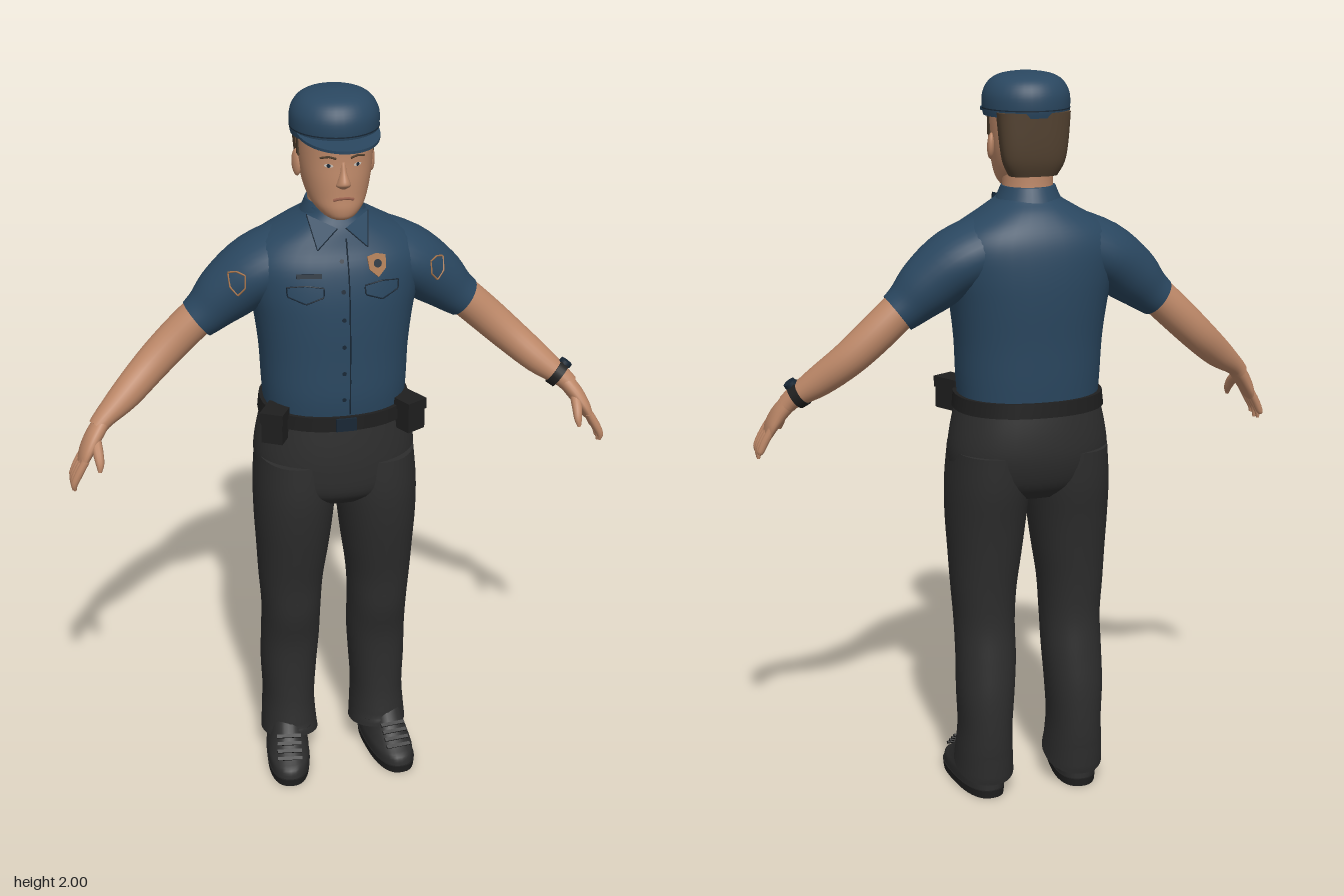
import * as THREE from 'three';

const mat = (name, color) => Object.assign(new THREE.MeshStandardMaterial({ color }), { name });
const M = {
  shirt: mat('navy cloth', 0x2a4760), trim: mat('dark seam', 0x182735), trousers: mat('charcoal cloth', 0x2d2d2d),
  leather: mat('black leather', 0x1f1f1f), skin: mat('skin', 0xbd8868), hair: mat('brown hair', 0x51402f),
  bronze: mat('bronze', 0xa8754c), eye: mat('eye white', 0xcfc4ba), lips: mat('lips', 0x9c6350),
};
M.flap = M.shirt.clone();
M.flap.side = THREE.DoubleSide;

const SEG = 36;
const spline = (a, b, c, d, t) => 0.5 * (2 * b + (c - a) * t + (2 * a - 5 * b + 4 * c - d) * t * t + (3 * b - a - 3 * c + d) * t ** 3);

// Smoothly fills in rows of numbers between the given ones
function refine(rows, steps) {
  const out = [], n = rows.length - 1, at = (i) => rows[Math.max(0, Math.min(n, i))];
  for (let i = 0; i < n; i++) for (let k = 0; k < steps; k++)
    out.push(rows[i].map((b, j) => spline(at(i - 1)[j], b, at(i + 1)[j], at(i + 2)[j], k / steps)));
  return [...out, rows[n]];
}

// Closed skin over a list of rings, with separate flat ends
function skin(rings) {
  const pos = [], idx = [], n = rings[0].length;
  rings.forEach((r) => r.forEach((p) => pos.push(p.x, p.y, p.z)));
  for (let i = 0; i < rings.length - 1; i++) for (let j = 0; j < n; j++) {
    const a = i * n + j, b = i * n + (j + 1) % n;
    idx.push(a, a + n, b, b, a + n, b + n);
  }
  [rings[0], rings[rings.length - 1]].forEach((r, end) => {
    const start = pos.length / 3, c = new THREE.Vector3();
    r.forEach((p) => { pos.push(p.x, p.y, p.z); c.addScaledVector(p, 1 / n); });
    pos.push(c.x, c.y, c.z);
    for (let j = 0; j < n; j++) {
      const a = start + j, b = start + (j + 1) % n;
      idx.push(start + n, end ? b : a, end ? a : b);
    }
  });
  const g = new THREE.BufferGeometry();
  g.setAttribute('position', new THREE.Float32BufferAttribute(pos, 3));
  g.setIndex(idx);
  g.computeVertexNormals();
  return g;
}

// Level cross-sections, rising: [y, xMin, xMax, zMin, zMax]
function loft(rows, power = 2, steps = 4) {
  const bulge = (v) => Math.sign(v) * Math.abs(v) ** (2 / power);
  return skin(refine(rows, steps).map(([y, x0, x1, z0, z1]) => Array.from({ length: SEG }, (_, j) => {
    const a = (j / SEG) * Math.PI * 2;
    return new THREE.Vector3((x0 + x1) / 2 + bulge(Math.cos(a)) * (x1 - x0) / 2, y, (z0 + z1) / 2 + bulge(Math.sin(a)) * (z1 - z0) / 2);
  })));
}
const even = (rows) => rows.map(([y, rx, z0, z1]) => [y, -rx, rx, z0, z1]);
const flip = (rows, s) => (s > 0 ? rows : rows.map(([y, a, b, c, d]) => [y, -b, -a, c, d]));

// Limb along a path: [x, y, z, radius across, radius in depth]
function limb(rows, s = 1, seg = 20, steps = 4) {
  const fine = refine(rows.map(([x, ...r]) => [x * s, ...r]), steps);
  const p = fine.map((r) => new THREE.Vector3(r[0], r[1], r[2]));
  return skin(fine.map((r, i) => {
    const T = p[Math.min(i + 1, p.length - 1)].clone().sub(p[Math.max(i - 1, 0)]).normalize();
    const U = T.clone().cross(new THREE.Vector3(0, 0, 1)).normalize(), V = U.clone().cross(T);
    return Array.from({ length: seg }, (_, j) => {
      const a = (j / seg) * Math.PI * 2;
      return p[i].clone().addScaledVector(U, Math.cos(a) * r[3]).addScaledVector(V, Math.sin(a) * r[4]);
    });
  }));
}

export function createModel() {
  const root = new THREE.Group();
  root.name = 'uniformed officer';
  const add = (name, geo, m, parent = root) => {
    const mesh = new THREE.Mesh(geo, m);
    mesh.name = name;
    parent.add(mesh);
    return mesh;
  };

  // Shirt
  const torso = add('shirt body', loft(even([[1.13, 0.19, -0.172, 0.14], [1.2, 0.195, -0.178, 0.148], [1.3, 0.2, -0.184, 0.147],
    [1.4, 0.213, -0.192, 0.145], [1.48, 0.23, -0.194, 0.138], [1.55, 0.238, -0.188, 0.122], [1.6, 0.205, -0.172, 0.1],
    [1.645, 0.13, -0.142, 0.083], [1.675, 0.082, -0.108, 0.068], [1.695, 0.072, -0.095, 0.058]]), 2.25), M.shirt);
  const sleeves = [1, -1].map((s) => add(s > 0 ? 'left sleeve' : 'right sleeve', limb([[0.1, 1.555, -0.04, 0.09, 0.12],
    [0.2, 1.515, -0.04, 0.088, 0.115], [0.28, 1.455, -0.04, 0.08, 0.088], [0.33, 1.41, -0.038, 0.064, 0.068], [0.362, 1.385, -0.037, 0.056, 0.06]], s, 32), M.shirt));
  add('collar', loft(even([[1.655, 0.094, -0.122, 0.07], [1.685, 0.08, -0.108, 0.064], [1.705, 0.072, -0.098, 0.052]])), M.shirt);

  // Head, neck and hair
  add('neck', loft(even([[1.65, 0.075, -0.095, 0.045], [1.7, 0.067, -0.086, 0.052], [1.78, 0.068, -0.085, 0.05]])), M.skin);
  const head = add('head', loft(even([[1.682, 0.022, 0.045, 0.098], [1.692, 0.044, -0.005, 0.112], [1.715, 0.066, -0.05, 0.117],
    [1.745, 0.08, -0.085, 0.115], [1.79, 0.09, -0.102, 0.114], [1.84, 0.096, -0.108, 0.111], [1.9, 0.1, -0.11, 0.112]]), 2.2), M.skin);
  add('hair', loft(even([[1.735, 0.064, -0.1, -0.03], [1.77, 0.082, -0.112, -0.032], [1.82, 0.091, -0.117, -0.03], [1.9, 0.098, -0.119, -0.02]]), 2.8), M.hair);
  add('nose', loft(even([[1.77, 0.008, 0.09, 0.116], [1.779, 0.019, 0.09, 0.13], [1.79, 0.016, 0.09, 0.136], [1.815, 0.009, 0.09, 0.122], [1.84, 0.008, 0.09, 0.112]])), M.skin);

  // Cap with curved peak
  add('cap crown', loft(even([[1.887, 0.112, -0.121, 0.114], [1.91, 0.115, -0.125, 0.119], [1.945, 0.113, -0.122, 0.116],
    [1.975, 0.096, -0.104, 0.097], [1.992, 0.065, -0.07, 0.064], [2, 0.012, -0.015, 0.01]])), M.shirt);
  add('cap band seam', loft(even([[1.904, 0.1155, -0.1255, 0.1195], [1.907, 0.1155, -0.1255, 0.1195]])), M.trim);
  const peakShape = new THREE.Shape();
  peakShape.absellipse(0, 0.03, 0.106, 0.163, 0, Math.PI);
  const peak = new THREE.ExtrudeGeometry(peakShape, { depth: 0.007, bevelEnabled: false, curveSegments: 32 }).rotateX(Math.PI / 2);
  const pp = peak.attributes.position;
  for (let i = 0; i < pp.count; i++) pp.setY(i, pp.getY(i) + 1.907 - 0.08 * Math.max(0, pp.getZ(i) - 0.05) - 0.5 * pp.getX(i) ** 2);
  peak.computeVertexNormals();
  add('cap peak', peak, M.shirt);

  // Trousers and belt
  add('trouser seat', loft(even([[0.87, 0.13, -0.12, 0.11], [0.91, 0.205, -0.16, 0.148], [0.98, 0.22, -0.183, 0.155], [1.05, 0.213, -0.184, 0.152], [1.13, 0.195, -0.174, 0.143]]), 2.2), M.trousers);
  add('belt', loft(even([[1.11, 0.206, -0.186, 0.153], [1.15, 0.202, -0.184, 0.153]]), 2.25), M.leather);
  add('buckle', new THREE.BoxGeometry(0.055, 0.036, 0.008), M.trim).position.set(0, 1.13, 0.155);

  for (const s of [1, -1]) {
    const side = s > 0 ? 'left ' : 'right ';

    // Leg, with its hem raised over the instep
    const leg = loft(flip([[0.075, 0.05, 0.212, -0.125, 0.082], [0.13, 0.055, 0.208, -0.134, 0.075], [0.2, 0.057, 0.204, -0.137, 0.066],
      [0.3, 0.05, 0.208, -0.135, 0.064], [0.4, 0.043, 0.207, -0.124, 0.07], [0.5, 0.042, 0.207, -0.113, 0.092], [0.6, 0.036, 0.214, -0.118, 0.103],
      [0.7, 0.022, 0.219, -0.13, 0.122], [0.8, 0.01, 0.224, -0.145, 0.14], [0.9, 0.001, 0.224, -0.163, 0.15], [1, 0.002, 0.216, -0.17, 0.145]], s), 2.2);
    const lp = leg.attributes.position;
    for (let i = 0; i < lp.count; i++) if (lp.getY(i) < 0.11) lp.setY(i, lp.getY(i) + lp.getZ(i) * 0.25);
    leg.computeVertexNormals();
    add(side + 'trouser leg', leg, M.trousers);

    // Shoe
    const shoe = new THREE.Group();
    shoe.name = side + 'shoe';
    shoe.position.x = s * 0.142;
    shoe.rotation.y = s * 0.12;
    root.add(shoe);
    add('sole', loft(even([[0, 0.06, -0.115, 0.185], [0.022, 0.062, -0.117, 0.188]]), 2.5), M.leather, shoe);
    add('upper', loft(even([[0.02, 0.059, -0.112, 0.184], [0.045, 0.06, -0.111, 0.176], [0.065, 0.057, -0.11, 0.145], [0.095, 0.052, -0.105, 0.105], [0.14, 0.047, -0.095, 0.07]]), 2.4), M.trousers, shoe);
    for (let i = 0; i < 4; i++) {
      const lace = add('lace', new THREE.BoxGeometry(0.07, 0.007, 0.01), M.leather, shoe);
      lace.position.set(0, 0.068 + i * 0.014, 0.145 - i * 0.017);
      lace.rotation.x = 0.7;
    }

    // Belt pouch
    const pouch = new THREE.Group();
    pouch.name = side + 'belt pouch';
    pouch.position.set(s * 0.178, 1.125, 0.1);
    pouch.rotation.y = s * 0.5;
    root.add(pouch);
    add('pouch body', new THREE.BoxGeometry(0.058, 0.085, 0.075), M.leather, pouch);
    add('pouch flap', new THREE.BoxGeometry(0.064, 0.03, 0.082), M.leather, pouch).position.y = 0.03;

    // Arm and hand
    add(side + 'arm', limb([[0.28, 1.46, -0.04, 0.05, 0.052], [0.36, 1.39, -0.04, 0.051, 0.052], [0.43, 1.325, -0.037, 0.05, 0.05],
      [0.495, 1.265, -0.022, 0.047, 0.048], [0.565, 1.205, 0.012, 0.041, 0.042], [0.625, 1.16, 0.042, 0.028, 0.033], [0.645, 1.14, 0.052, 0.025, 0.032]], s, 24), M.skin);
    add(side + 'palm', limb([[0.63, 1.155, 0.045, 0.022, 0.029], [0.658, 1.12, 0.065, 0.022, 0.038], [0.68, 1.085, 0.079, 0.018, 0.044], [0.692, 1.058, 0.085, 0.013, 0.04]], s), M.skin);
    for (let i = 0; i < 4; i++) {
      const z = 0.052 + i * 0.022, tip = [1.005, 0.988, 0.985, 0.995][i];
      add(side + 'finger', limb([[0.686, 1.075, z, 0.011, 0.011], [0.706, 1.04, z + 0.003, 0.011, 0.011],
        [0.719, 1.012, z + 0.004, 0.009, 0.009], [0.724 - i * 0.002, tip, z + 0.003, 0.004, 0.005]], s, 10), M.skin);
    }
    add(side + 'thumb', limb([[0.655, 1.12, 0.08, 0.015, 0.015], [0.652, 1.095, 0.112, 0.014, 0.014], [0.65, 1.07, 0.132, 0.011, 0.011], [0.652, 1.05, 0.14, 0.005, 0.005]], s, 10), M.skin);

    // Ear and sideburn
    const ear = add(side + 'ear', new THREE.SphereGeometry(1, 16, 12), M.skin);
    ear.scale.set(0.01, 0.035, 0.02);
    ear.position.set(s * 0.097, 1.808, -0.008);
    ear.rotation.set(-0.15, s * -0.3, 0);
    const burn = add(side + 'sideburn', new THREE.BoxGeometry(0.006, 0.06, 0.022), M.hair);
    burn.position.set(s * 0.096, 1.865, 0.01);
  }

  // Watch on the left wrist
  const watchDir = new THREE.Vector3(0.06, -0.045, 0.03).normalize();
  const strap = add('watch strap', new THREE.CylinderGeometry(0.037, 0.038, 0.024, 24), M.leather);
  strap.position.set(0.615, 1.168, 0.038);
  strap.quaternion.setFromUnitVectors(new THREE.Vector3(0, 1, 0), watchDir);
  const dial = add('watch dial', new THREE.CylinderGeometry(0.017, 0.018, 0.012, 20), M.trim);
  const dialDir = new THREE.Vector3(0.6, 0.8, 0).normalize();
  dial.position.copy(strap.position).addScaledVector(dialDir, 0.037);
  dial.quaternion.setFromUnitVectors(new THREE.Vector3(0, 1, 0), dialDir);

  // Details laid on the front surface of cloth and face
  root.updateMatrixWorld(true);
  const cloth = [torso, ...sleeves];
  const probe = (x, y, on, lift = 0.002) => {
    const hit = new THREE.Raycaster(new THREE.Vector3(x, y, 1), new THREE.Vector3(0, 0, -1)).intersectObjects(on, false)[0];
    return { p: hit.point.clone().addScaledVector(hit.face.normal, lift), n: hit.face.normal };
  };
  const plate = (name, geo, m, x, y, on = cloth, lift = 0.002) => {
    const { p, n } = probe(x, y, on, lift), mesh = add(name, geo, m);
    mesh.position.copy(p);
    mesh.lookAt(p.clone().add(n));
    return mesh;
  };
  const line = (name, pts, m, closed = false, r = 0.002, on = cloth) => {
    const path = new THREE.CurvePath(), v = pts.map(([x, y]) => probe(x, y, on, 0.001).p);
    for (let i = 0; i < v.length - (closed ? 0 : 1); i++) path.add(new THREE.LineCurve3(v[i], v[(i + 1) % v.length]));
    add(name, new THREE.TubeGeometry(path, 48, r, 5, closed), m);
  };
  const shield = [[-1, 0.8], [0, 1], [1, 0.8], [0.9, -0.3], [0, -1], [-0.9, -0.3]];
  const shieldShape = (w, h) => new THREE.ExtrudeGeometry(new THREE.Shape(shield.map(([x, y]) => new THREE.Vector2(x * w, y * h))), { depth: 0.004, bevelEnabled: false });

  line('placket seam', Array.from({ length: 12 }, (_, i) => [0.012, 1.155 + i * 0.043]), M.trim);
  for (let i = 0; i < 6; i++) plate('button', new THREE.CircleGeometry(0.006, 12), M.trim, -0.004, 1.2 + i * 0.075);
  plate('badge', shieldShape(0.025, 0.031), M.bronze, 0.088, 1.558);
  plate('badge centre', new THREE.CircleGeometry(0.011, 16), M.trim, 0.088, 1.562, cloth, 0.008);
  plate('name plate', new THREE.BoxGeometry(0.066, 0.012, 0.006), M.trim, -0.09, 1.543);
  for (const s of [1, -1]) {
    line('pocket flap', [[-0.047, 0.012], [0, 0.018], [0.047, 0.012], [0.045, -0.012], [0, -0.03], [-0.045, -0.012]].map(([x, y]) => [s * 0.1 + x, 1.5 + y]), M.trim, true);
    line('shoulder patch', shield.map(([x, y]) => [s * 0.265 + x * 0.02, 1.51 + y * 0.03]), M.bronze, true, 0.0025);
    const corners = [[0.074, 1.672], [0.064, 1.602], [0.01, 1.652]].map(([x, y]) => probe(s * x, y, cloth, 0.012).p);
    const flap = new THREE.BufferGeometry().setFromPoints(s > 0 ? [corners[0], corners[2], corners[1]] : corners);
    flap.computeVertexNormals();
    add('collar point', flap, M.flap);
    add('collar edge', new THREE.TubeGeometry(new THREE.LineCurve3(corners[0], corners[1]), 1, 0.0015, 5), M.trim);
    add('collar edge', new THREE.TubeGeometry(new THREE.LineCurve3(corners[1], corners[2]), 1, 0.0015, 5), M.trim);
    plate('eye', new THREE.CircleGeometry(0.012, 20).scale(1, 0.4, 1), M.eye, s * 0.036, 1.832, [head]);
    plate('pupil', new THREE.CircleGeometry(0.005, 16), M.trim, s * 0.036, 1.832, [head], 0.003);
    line('eyebrow', [[s * 0.018, 1.85], [s * 0.036, 1.855], [s * 0.056, 1.85]], M.hair, false, 0.003, [head]);
  }
  line('mouth', [[-0.026, 1.742], [-0.01, 1.746], [0.01, 1.746], [0.026, 1.742]], M.lips, false, 0.004, [head]);
  return root;
}
